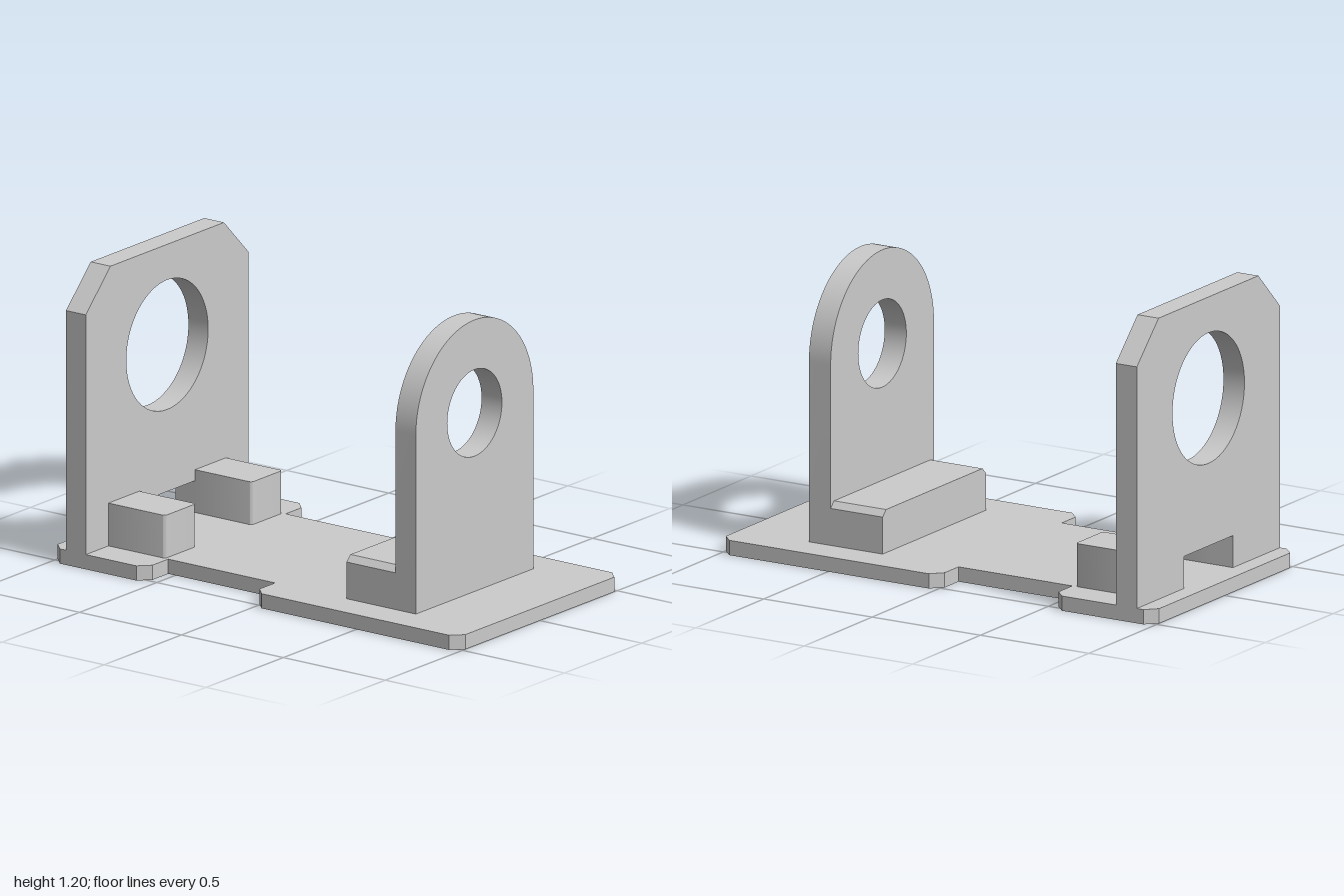
import * as THREE from 'three';
import { toCreasedNormals } from 'three/addons/utils/BufferGeometryUtils.js';

const material = new THREE.MeshStandardMaterial({ color: 0xcccccc });
const BASE = 0.06; // top of the base plate
const AXIS = 0.79; // height of both bores

const outline = (points) => new THREE.Shape(points.map(([x, y]) => new THREE.Vector2(x, y)));

function extrude(shape, depth) {
  const g = new THREE.ExtrudeGeometry(shape, { depth, bevelEnabled: false, curveSegments: 32 });
  return toCreasedNormals(g, 0.5);
}

function addPart(group, name, geometry) {
  const mesh = new THREE.Mesh(geometry, material);
  mesh.name = name;
  group.add(mesh);
}

// Profile drawn in (z, y), given thickness along x
const upright = (shape, x0, x1) => extrude(shape, x1 - x0).rotateY(Math.PI / 2).translate(x0, 0, 0);

// Profile drawn in plan, given thickness along y
const slab = (shape, y0, y1) => extrude(shape, y1 - y0).rotateX(-Math.PI / 2).translate(0, y0, 0);

function addBore(shape, radius) {
  shape.holes.push(new THREE.Path().absarc(0, AXIS, radius, 0, Math.PI * 2, true));
}

export function createModel() {
  const group = new THREE.Group();
  group.name = 'shaftBracket';

  // Base with a narrowed waist and clipped corners
  const w = 0.527, n = 0.38, c = 0.045;
  const half = [
    [-1, w - c], [-1 + c, w], [-0.535 - c, w], [-0.535, w - c], [-0.535, n],
    [-0.01, n], [-0.01, w - c], [-0.01 + c, w], [1 - c, w], [1, w - c],
  ];
  const mirrored = half.map(([x, y]) => [x, -y]).reverse();
  addPart(group, 'basePlate', slab(outline([...half, ...mirrored]), 0, BASE));

  // Tall plate: clipped top corners, large bore, slot at the foot
  const tall = outline([
    [-w, BASE], [-0.18, BASE], [-0.18, 0.19], [0.18, 0.19], [0.18, BASE], [w, BASE],
    [w, 1.04], [0.367, 1.2], [-0.367, 1.2], [-w, 1.04],
  ]);
  addBore(tall, 0.265);
  addPart(group, 'tallPlate', upright(tall, -0.925, -0.828));

  // Round-topped plate with the smaller bore
  const arch = outline([[-n, BASE], [n, BASE], [n, AXIS]]);
  arch.absarc(0, AXIS, n, 0, Math.PI, false);
  addBore(arch, 0.177);
  addPart(group, 'archPlate', upright(arch, 0.58, 0.68));

  // Stiffening rib behind the round-topped plate
  const rib = outline([
    [-n, BASE], [n, BASE], [n, 0.21], [n - 0.025, 0.235], [-n + 0.025, 0.235], [-n, 0.21],
  ]);
  addPart(group, 'archRib', upright(rib, 0.34, 0.58));

  // Pair of foot blocks with softened free corners
  for (const side of [-1, 1]) {
    const r = 0.015, a = -0.828, b = -0.55;
    const lo = side > 0 ? 0.18 : -n;
    const hi = side > 0 ? n : -0.18;
    const block = new THREE.Shape();
    block.moveTo(a, lo);
    block.lineTo(b - r, lo);
    block.absarc(b - r, lo + r, r, -Math.PI / 2, 0, false);
    block.absarc(b - r, hi - r, r, 0, Math.PI / 2, false);
    block.lineTo(a, hi);
    addPart(group, side > 0 ? 'backFootBlock' : 'frontFootBlock', slab(block, BASE, 0.235));
  }

  return group;
}
